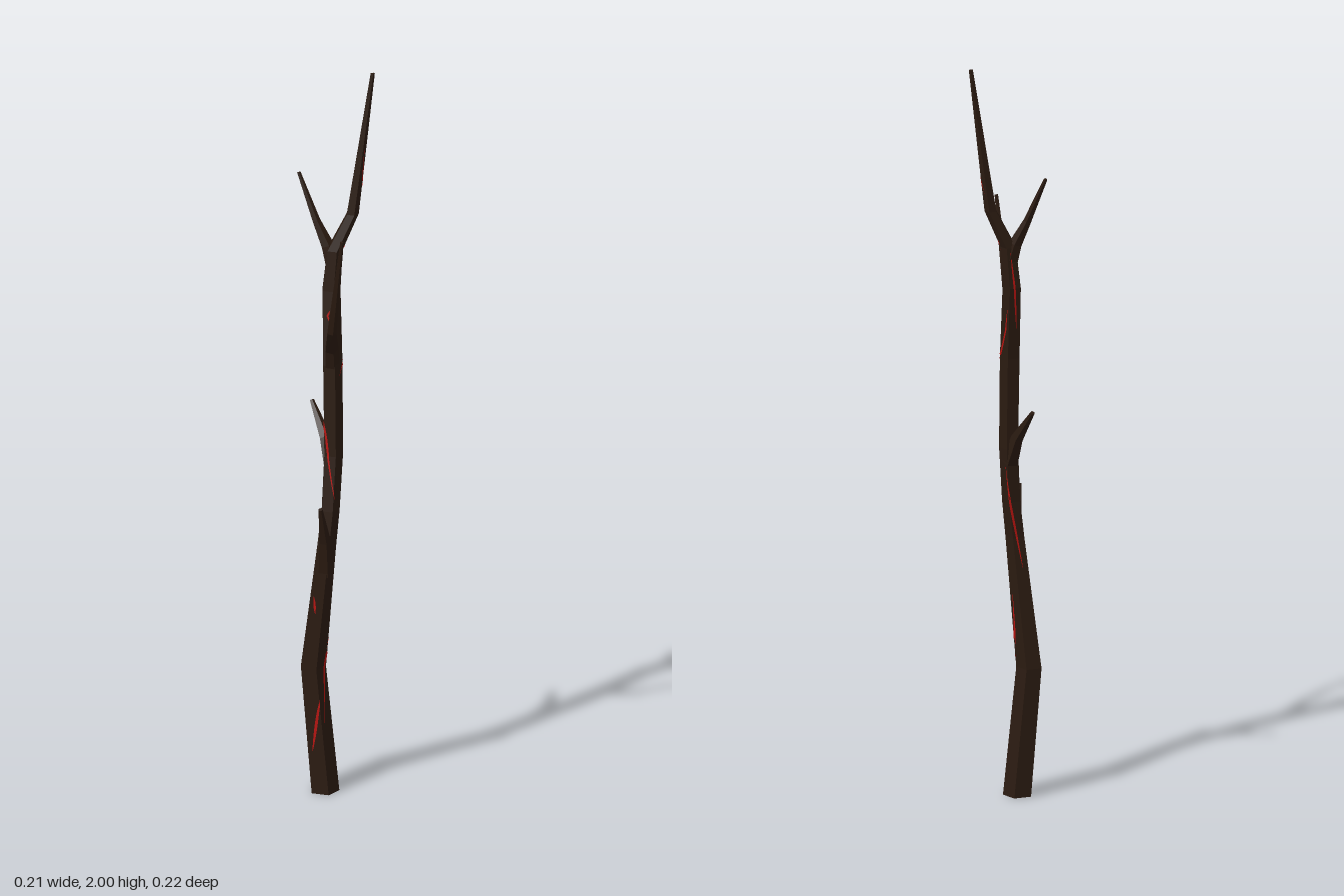
import * as THREE from 'three';

const SIDES = 5;
const TURN = 1.03; // rotation of the five-sided section
const bark = new THREE.MeshStandardMaterial({ color: 0x2b1b11, flatShading: true });
const glow = new THREE.MeshStandardMaterial({ color: 0xb81410, side: THREE.DoubleSide });

// Each path point is [x, y, z, radius]
const TRUNK = [
  [-0.016, 0, -0.029, 0.04], [-0.046, 0.35, -0.021, 0.036], [-0.005, 0.7, -0.003, 0.027],
  [0.004, 0.8, -0.009, 0.026], [0.008, 0.95, -0.026, 0.027], [0.003, 1.2, -0.037, 0.028],
  [-0.006, 1.4, -0.06, 0.026], [0.003, 1.51, -0.064, 0.022],
  [0.048, 1.61, -0.079, 0.017], [0.097, 2, -0.102, 0.006],
];
const BRANCHES = {
  upperLeftFork: [[0, 1.46, -0.063, 0.021], [-0.016, 1.52, -0.065, 0.018], [-0.048, 1.585, -0.072, 0.011], [-0.1, 1.708, -0.093, 0.005]],
  frontBranch: [[0.003, 1.17, -0.04, 0.022], [0.008, 1.25, -0.012, 0.019], [0.022, 1.32, 0.046, 0.013], [0.064, 1.6, 0.104, 0.005]],
  backTwig: [[0.006, 0.91, -0.026, 0.024], [-0.018, 0.985, -0.05, 0.017], [-0.066, 1.068, -0.098, 0.006]],
  lowFrontTwig: [[-0.006, 0.62, -0.002, 0.022], [-0.003, 0.72, 0.02, 0.017], [-0.004, 0.825, 0.062, 0.006]],
};

// Tapering five-sided limb; rings are level or square to the path
function limb(path, level) {
  const centres = path.map(p => new THREE.Vector3(p[0], p[1], p[2]));
  const up = new THREE.Vector3(0, 1, 0);
  const pos = [], index = [];
  path.forEach((p, i) => {
    const a = centres[Math.max(i - 1, 0)], b = centres[Math.min(i + 1, path.length - 1)];
    const q = new THREE.Quaternion();
    if (!level) q.setFromUnitVectors(up, b.clone().sub(a).normalize());
    for (let s = 0; s < SIDES; s++) {
      const t = TURN + s * 2 * Math.PI / SIDES;
      const v = new THREE.Vector3(Math.cos(t) * p[3], 0, Math.sin(t) * p[3]);
      pos.push(...v.applyQuaternion(q).add(centres[i]).toArray());
      if (i > 0) {
        const n = (s + 1) % SIDES, lo = (i - 1) * SIDES, hi = i * SIDES;
        index.push(lo + s, hi + s, lo + n, lo + n, hi + s, hi + n);
      }
    }
  });
  // End caps
  const top = (path.length - 1) * SIDES;
  for (let s = 1; s < SIDES - 1; s++) index.push(0, s, s + 1, top, top + s + 1, top + s);
  const g = new THREE.BufferGeometry();
  g.setAttribute('position', new THREE.Float32BufferAttribute(pos, 3));
  g.setIndex(index);
  g.computeVertexNormals();
  return g;
}

// Point on the trunk surface at a height and a compass angle (0 = +x, 90 = front)
function onTrunk(y, degrees) {
  let i = 1;
  while (i < TRUNK.length - 1 && TRUNK[i][1] < y) i++;
  const a = TRUNK[i - 1], b = TRUNK[i], k = (y - a[1]) / (b[1] - a[1]);
  const [x, , z, r] = a.map((v, j) => v + (b[j] - v) * k);
  const t = degrees * Math.PI / 180, step = 2 * Math.PI / SIDES;
  const local = ((t - TURN) % step + step) % step - step / 2;
  const d = r * Math.cos(step / 2) / Math.cos(local) + 0.0012;
  return [x + Math.cos(t) * d, y, z + Math.sin(t) * d];
}

// Glowing crack: a ribbon through [height, angle] points, narrowing at both ends
function vein(points, width) {
  const pos = [], index = [], n = 10 * (points.length - 1);
  for (let i = 0; i <= n; i++) {
    const j = Math.min(Math.floor(i / 10), points.length - 2), k = i / 10 - j;
    const y = THREE.MathUtils.lerp(points[j][0], points[j + 1][0], k);
    const a = THREE.MathUtils.lerp(points[j][1], points[j + 1][1], k);
    const w = width * (0.15 + Math.sin(Math.PI * i / n));
    pos.push(...onTrunk(y, a - w), ...onTrunk(y, a + w));
    if (i < n) index.push(2 * i, 2 * i + 2, 2 * i + 1, 2 * i + 1, 2 * i + 2, 2 * i + 3);
  }
  const g = new THREE.BufferGeometry();
  g.setAttribute('position', new THREE.Float32BufferAttribute(pos, 3));
  g.setIndex(index);
  g.computeVertexNormals();
  return g;
}

const VEINS = [
  [[0.12, 112], [0.19, 85], [0.27, 55]],
  [[0.2, 40], [0.36, 0], [0.45, -25], [0.55, -35]],
  [[0.51, 95], [0.56, 115]],
  [[0.83, 50], [0.94, 105], [1.0, 118], [1.08, 145]],
  [[0.62, 235], [0.75, 262], [0.9, 290]],
  [[1.17, 20], [1.21, -20], [1.28, -60], [1.34, -70]],
  [[1.31, 75], [1.335, 100], [1.35, 82]],
  [[1.28, 225], [1.4, 245], [1.5, 250]],
  [[1.49, 0], [1.53, -25]],
  [[1.66, -50], [1.71, 0], [1.8, 40]],
];

export function createModel() {
  const model = new THREE.Group();
  model.name = 'deadTree';
  const add = (geometry, material, name) => {
    const mesh = new THREE.Mesh(geometry, material);
    mesh.name = name;
    model.add(mesh);
  };
  add(limb(TRUNK, true), bark, 'trunk');
  for (const [name, path] of Object.entries(BRANCHES)) add(limb(path, false), bark, name);
  VEINS.forEach((points, i) => add(vein(points, 6), glow, 'glowingCrack' + (i + 1)));
  return model;
}
